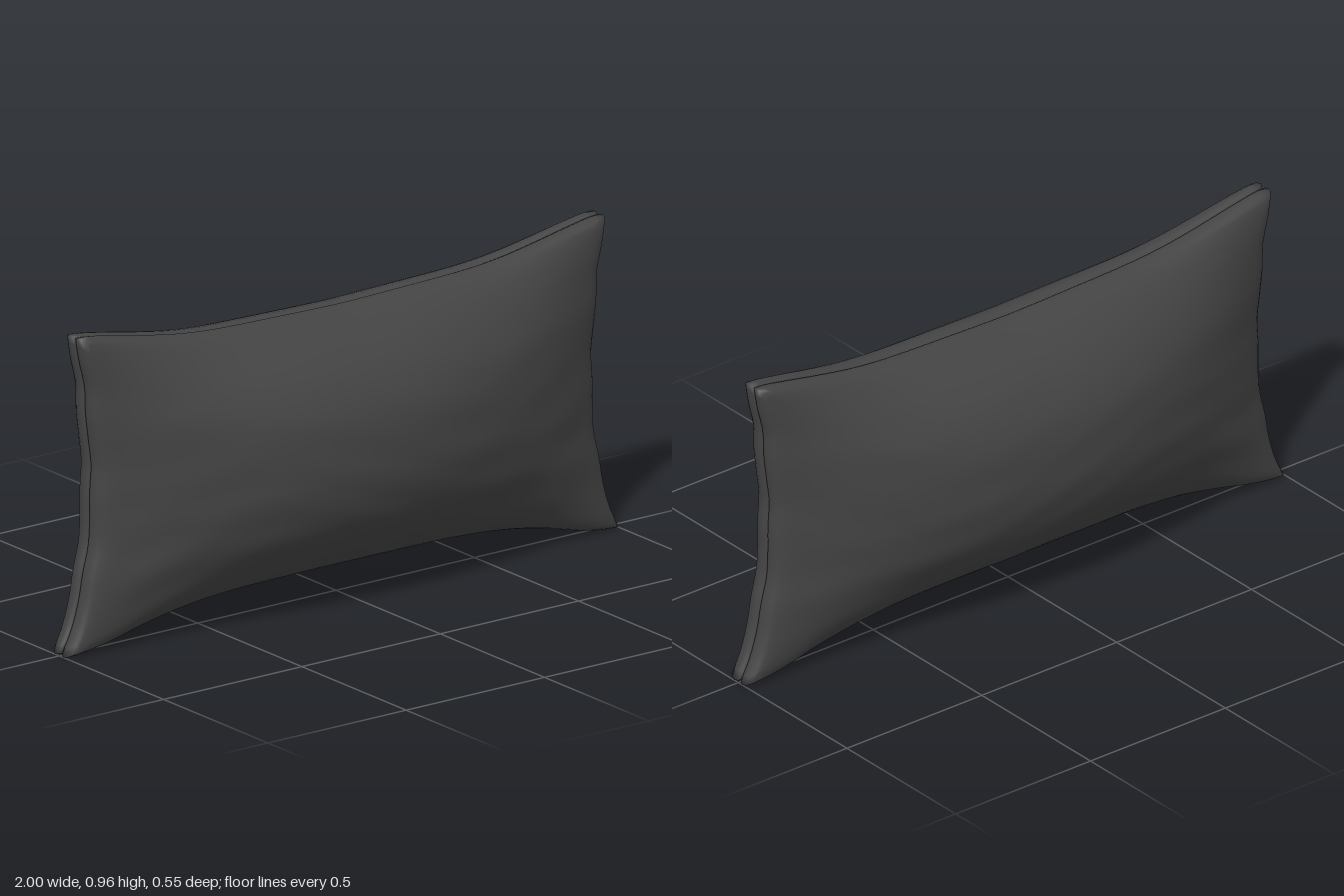
import * as THREE from 'three';
import { mergeVertices } from 'three/addons/utils/BufferGeometryUtils.js';

// Smooth lookup through evenly spaced values, for t in 0..1
function lookup(values) {
  const curve = new THREE.SplineCurve(values.map((v, i) => new THREE.Vector2(i, v)));
  return (t) => curve.getPoint(Math.min(1, Math.max(0, t))).y;
}

// Outline: edges dip in the middle and flare to the corners
const topEdge = lookup([0.88, 0.882, 0.885, 0.888, 0.893, 0.905, 0.925, 0.948, 0.968]);
const bottomEdge = lookup([0.095, 0.095, 0.094, 0.092, 0.085, 0.07, 0.045, 0.014, -0.004]);
const sideEdge = lookup([1.0, 0.965, 0.94, 0.925, 0.905, 0.9, 0.9, 0.895, 0.905, 0.915, 0.918, 0.938, 0.95]);

// Rings from the seam inward: [inset, base depth]
const rings = [[0.014, 0], [0.004, 0.005], [0, 0.018], [0.003, 0.032], [0.01, 0.043], [0.022, 0.048]];
for (let i = 1; i <= 20; i++) rings.push([0.022 + 0.428 * i / 20, 0.05]);

// Unit rectangle perimeter, counterclockwise from the front
function perimeter(nx, ny) {
  const pts = [];
  for (let i = 0; i < nx; i++) pts.push([-1 + 2 * i / nx, -1]);
  for (let i = 0; i < ny; i++) pts.push([1, -1 + 2 * i / ny]);
  for (let i = 0; i < nx; i++) pts.push([1 - 2 * i / nx, 1]);
  for (let i = 0; i < ny; i++) pts.push([-1, 1 - 2 * i / ny]);
  return pts;
}

function cushionPoint(s, t, depth, side) {
  const v = (t + 1) / 2, a = Math.abs(s);
  const corner = Math.pow(Math.abs(s * t), 24);
  const x = s * sideEdge(v);
  const y = THREE.MathUtils.lerp(bottomEdge(a), topEdge(a), v) - Math.sign(t) * 0.006 * corner;
  const bulge = (1 - Math.pow(a, 2.1)) * (1 - Math.pow(Math.abs(t), 2.5));
  // Faint creases, mostly in the lower half
  const crease = 0.003 * Math.sin(34 * v + 2.5 * Math.sin(4 * s)) * Math.sin(7 * s + 5 * v)
    * (1 - v) * Math.min(1, 4 * bulge);
  return [x, y, side * (depth + 0.225 * bulge + (depth > 0.049 ? crease : 0))];
}

// One fabric half, side = 1 for front and -1 for back
function halfGeometry(side) {
  const loop = perimeter(64, 32), n = loop.length, pos = [], index = [];
  rings.forEach(([inset, depth], k) => {
    for (const [s, t] of loop) {
      const p = cushionPoint(s * (1 - inset / 0.95), t * (1 - inset / 0.45), depth, side);
      if (k === 0) p[2] = 0;
      pos.push(...p);
    }
  });
  for (let k = 0; k < rings.length - 1; k++) {
    for (let i = 0; i < n; i++) {
      const j = (i + 1) % n;
      const a = k * n + i, b = k * n + j, c = b + n, d = a + n;
      if (side > 0) index.push(a, b, c, a, c, d);
      else index.push(a, c, b, a, d, c);
    }
  }
  const geo = new THREE.BufferGeometry();
  geo.setAttribute('position', new THREE.Float32BufferAttribute(pos, 3));
  geo.setIndex(index);
  const merged = mergeVertices(geo, 1e-5);
  merged.computeVertexNormals();
  return merged;
}

export function createModel() {
  const group = new THREE.Group();
  group.name = 'cushion';
  const fabric = new THREE.MeshStandardMaterial({ color: 0x444444 });
  fabric.name = 'charcoal fabric';
  for (const [name, side] of [['frontPanel', 1], ['backPanel', -1]]) {
    const mesh = new THREE.Mesh(halfGeometry(side), fabric);
    mesh.name = name;
    group.add(mesh);
  }
  return group;
}
